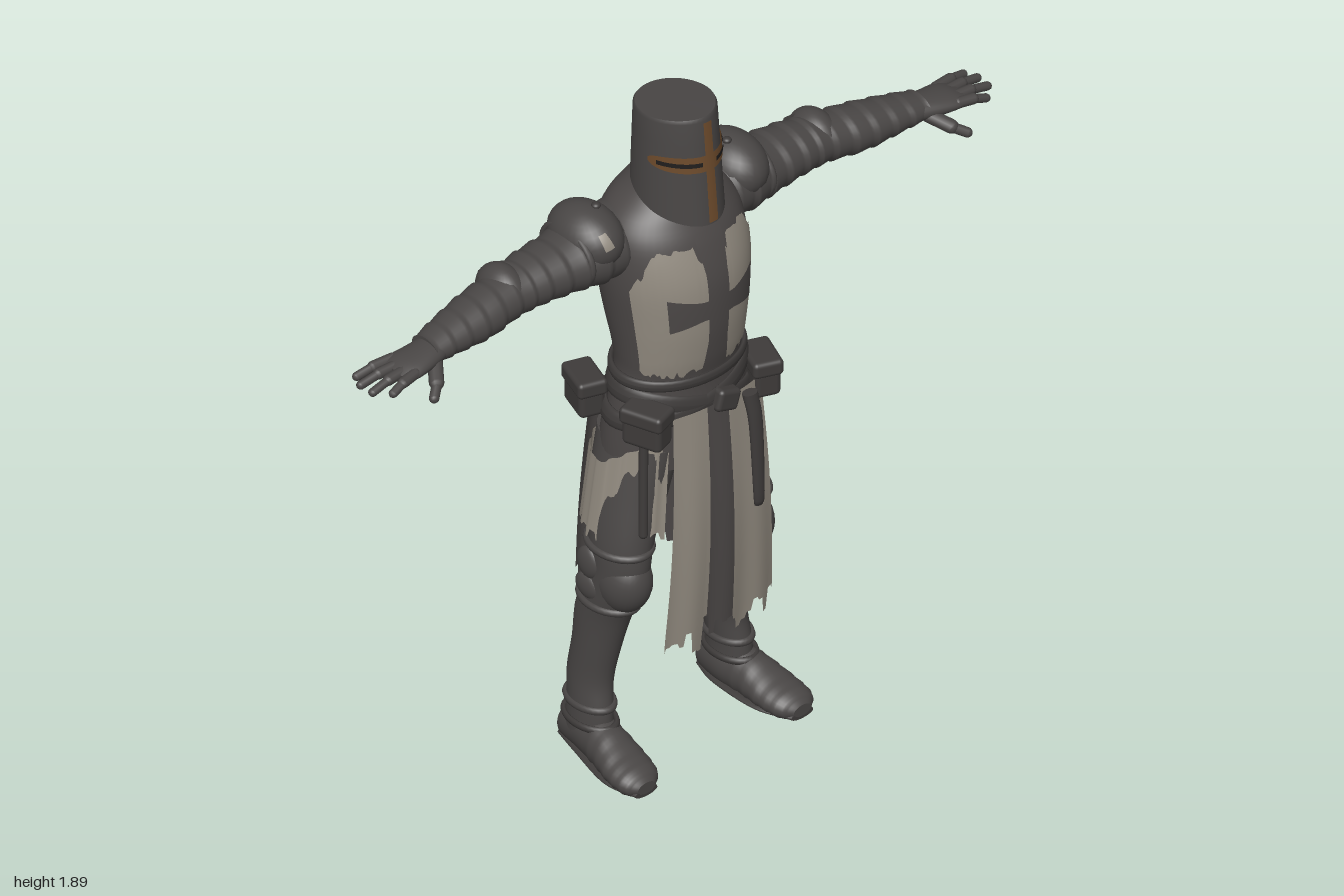
import * as THREE from 'three';
import { RoundedBoxGeometry } from 'three/addons/geometries/RoundedBoxGeometry.js';

const paint = (name, color, side = THREE.FrontSide) =>
  Object.assign(new THREE.MeshStandardMaterial({ color, side }), { name });
const hash = n => { const s = Math.sin(n * 12.9898) * 43758.5453; return s - Math.floor(s); };
const lerp = THREE.MathUtils.lerp;
const TAU = Math.PI * 2;

// Surface through rows of points; optional wrap-around and flat end caps
function skin(rings, closed = true, cap = closed) {
  if (cap) {
    const mid = r => {
      const c = [0, 1, 2].map(k => r.reduce((s, p) => s + p[k], 0) / r.length);
      return r.map(() => c);
    };
    const first = rings[0], last = rings[rings.length - 1];
    rings = [mid(first), first, ...rings, last, mid(last)];
  }
  const n = rings[0].length, idx = [];
  for (let i = 0; i < rings.length - 1; i++) {
    for (let j = 0; j < (closed ? n : n - 1); j++) {
      const k = (j + 1) % n, a = i * n + j, b = i * n + k, c = b + n, d = a + n;
      idx.push(a, b, c, a, c, d);
    }
  }
  const g = new THREE.BufferGeometry();
  g.setAttribute('position', new THREE.Float32BufferAttribute(rings.flat(2), 3));
  g.setIndex(idx);
  g.computeVertexNormals();
  return g;
}

// Smooth tables of [centre x, y, z, radius a, radius b]
function profile(rows) {
  const centre = new THREE.CatmullRomCurve3(rows.map(r => new THREE.Vector3(r[0], r[1], r[2])), false, 'catmullrom');
  const radii = new THREE.CatmullRomCurve3(rows.map(r => new THREE.Vector3(r[3], r[4], 0)), false, 'catmullrom');
  return t => ({ c: centre.getPoint(t), r: radii.getPoint(t) });
}
function sectionPoint({ c, r }, axis, q, s = 1) {
  const a = r.x * Math.sin(q) * s, b = r.y * Math.cos(q) * s;
  if (axis === 'y') return [c.x + a, c.y, c.z + b];
  if (axis === 'x') return [c.x, c.y + b, c.z + a];
  return [c.x + b, Math.max(0, c.y + a), c.z];
}
function loft(rows, axis, steps = 32, scale = () => 1, n = 32) {
  const at = profile(rows);
  return skin(Array.from({ length: steps + 1 }, (_, i) => {
    const s = at(i / steps);
    return Array.from({ length: n }, (_, j) => sectionPoint(s, axis, j / n * TAU, scale(i / steps)));
  }));
}
// Open sheet on surf(u, y) between two edge functions
function sheet(surf, u0, u1, lo, hi, n = 32, m = 16) {
  return skin(Array.from({ length: m + 1 }, (_, i) => Array.from({ length: n + 1 }, (_, j) => {
    const u = lerp(u0, u1, j / n);
    return surf(u, lerp(lo(u), hi(u), i / m));
  })), false);
}

export function createModel() {
  const steel = paint('dark steel', 0x494645);
  const tunic = paint('dark cloth', 0x4b4746, THREE.DoubleSide);
  const linen = paint('worn linen', 0x918a7f, THREE.DoubleSide);
  const leather = paint('dark leather', 0x3e3b3a);
  const brass = paint('aged brass', 0x6c4a2b, THREE.DoubleSide);
  const slitMat = paint('shadow black', 0x1f1d1c, THREE.DoubleSide);
  const model = new THREE.Group();
  model.name = 'armouredKnight';
  const add = (parent, name, geo, mat, pos, rot, scale) => {
    const m = new THREE.Mesh(geo, mat);
    m.name = name;
    if (pos) m.position.set(...pos);
    if (rot) m.rotation.set(...rot);
    if (scale) m.scale.set(...scale);
    parent.add(m);
    return m;
  };
  const ball = new THREE.SphereGeometry(1, 28, 18);
  const capsule = (parent, name, a, b, r, mat) => {
    const p = new THREE.Vector3(...a), q = new THREE.Vector3(...b), d = q.clone().sub(p);
    const m = add(parent, name, new THREE.CapsuleGeometry(r, d.length(), 5, 10), mat, p.clone().add(q).multiplyScalar(0.5).toArray());
    m.quaternion.setFromUnitVectors(new THREE.Vector3(0, 1, 0), d.normalize());
  };

  // Torso in a dark tunic: rows of [y, half width, front z, back z]
  const torsoRows = [
    [0.87, 0.205, 0.13, -0.155], [0.95, 0.2, 0.135, -0.145], [1.04, 0.188, 0.14, -0.125], [1.13, 0.172, 0.14, -0.12],
    [1.2, 0.176, 0.153, -0.132], [1.3, 0.188, 0.163, -0.163], [1.42, 0.2, 0.16, -0.185], [1.52, 0.195, 0.132, -0.182],
    [1.58, 0.165, 0.1, -0.165], [1.63, 0.105, 0.07, -0.135], [1.67, 0.07, 0.05, -0.1],
  ].map(([y, w, f, b]) => [0, y, (f + b) / 2, w, (f - b) / 2]);
  add(model, 'torso', loft(torsoRows, 'y', 48, undefined, 56), tunic);
  const torsoAt = profile(torsoRows);
  const onTorso = (q, y, s) => {
    let a = 0, b = 1;
    for (let i = 0; i < 22; i++) { const m = (a + b) / 2; if (torsoAt(m).c.y < y) a = m; else b = m; }
    return sectionPoint(torsoAt(a), 'y', q, s);
  };

  // Linen chest front with a dark flared cross
  const chestTop = q => {
    const a = Math.abs(q);
    return (a < 0.25 ? 1.5 : a < 0.75 ? 1.535 : lerp(1.535, 1.42, (a - 0.75) / 0.45)) - 0.02 * hash(Math.round(q * 12));
  };
  add(model, 'chestLinen', sheet((q, y) => onTorso(q, y, 1.025), -1.2, 1.2,
    q => 1.15 + 0.025 * hash(Math.round(q * 20)), chestTop, 64, 24), linen);
  const crossWidth = y => 0.16 + 0.12 * Math.max(0, Math.abs(y - 1.35) - 0.1) / 0.2;
  add(model, 'crossUpright', sheet((u, y) => onTorso(u * crossWidth(y), y, 1.04), -1, 1, () => 1.15, () => 1.55, 10, 24), tunic);
  const barHalf = q => 0.028 + 0.022 * Math.max(0, Math.abs(q) - 0.25) / 0.45;
  add(model, 'crossBar', sheet((q, y) => onTorso(q, y, 1.045), -0.7, 0.72, q => 1.35 - barHalf(q), q => 1.35 + barHalf(q), 24, 6), tunic);

  // Crossing belts, knot, buckle and pouches
  for (const [tilt, y0] of [[-0.045, 1.05], [0.045, 1.06], [0, 1.13]]) {
    const h = tilt ? 0.025 : 0.016;
    add(model, 'belt', skin(Array.from({ length: 13 }, (_, i) => Array.from({ length: 48 }, (_, j) => {
      const f = i / 12 * TAU, q = j / 48 * TAU;
      return onTorso(q, y0 + tilt * Math.sin(q) + h * Math.sin(f), 1.05 + 0.05 * Math.cos(f));
    })), true, false), leather);
  }
  add(model, 'beltKnot', new RoundedBoxGeometry(0.07, 0.06, 0.04, 3, 0.012), leather, [0.03, 1.05, 0.155], [0, 0, -0.3]);
  for (const s of [-1, 1]) {
    for (const [x, z, yaw] of [[0.183, 0.11, 0.35], [0.2, -0.105, -0.3]]) {
      const pouch = new THREE.Group();
      pouch.name = 'pouch';
      pouch.position.set(s * x, 1.04, z);
      pouch.rotation.y = -s * yaw;
      add(pouch, 'pouchBody', new RoundedBoxGeometry(0.07, 0.1, 0.11, 3, 0.015), leather);
      add(pouch, 'pouchFlap', new RoundedBoxGeometry(0.08, 0.045, 0.12, 3, 0.012), leather, [0, 0.035, 0]);
      model.add(pouch);
    }
  }

  // Ragged linen hip skirts
  const onSkirt = (q, y) => {
    const t = (0.97 - y) / 0.3;
    return [Math.sin(q) * lerp(0.208, 0.255, t), y, -0.017 + Math.cos(q) * lerp(0.15, 0.16, t) + 0.004 * Math.sin(q * 24)];
  };
  for (const s of [-1, 1]) {
    const mid = s * 1.6;
    add(model, 'hipSkirt', sheet(onSkirt, mid - 1.05, mid + 1.05,
      q => 0.66 + 0.05 * hash(Math.round(q * 9) + s), q => 0.88 + 0.11 * Math.max(0, Math.cos(q)), 56, 10), linen);
  }
  capsule(model, 'hangingStrap', [-0.185, 1.0, 0.1], [-0.195, 0.72, 0.11], 0.012, leather);

  // Long front tabard: linen, dark stripe, linen; and the dark back tabard
  const frontZ = (x, y) => 0.158 + 0.018 * Math.sin((1.05 - y) / 0.72 * Math.PI) + 0.006 * Math.sin(x * 55) * (1.1 - y) - 0.6 * x * x;
  const onFront = (x, y) => [x * lerp(1, 0.82, Math.max(0, (y - 0.4) / 0.65)), y, frontZ(x, y)];
  const frontHem = x => 0.33 + 0.075 * hash(Math.round(x * 55) + 3) + 0.03 * (Math.abs(x) < 0.05);
  for (const [name, a, b, mat] of [['tabardRight', -0.155, -0.035, linen], ['tabardStripe', -0.035, 0.045, tunic], ['tabardLeft', 0.045, 0.195, linen]]) {
    add(model, name, sheet(onFront, a, b, frontHem, () => 1.05, 24, 24), mat);
  }
  const onBack = (x, y) => [x * lerp(1, 0.85, (y - 0.33) / 0.7), y,
    -0.15 - 0.035 * Math.sin(Math.min(1, (1.02 - y) / 0.5) * Math.PI / 2) + 0.006 * Math.sin(x * 50) + 0.6 * x * x];
  add(model, 'backTabard', sheet(onBack, 0.18, -0.18, x => 0.33 + 0.14 * hash(Math.round(x * 45) + 9), () => 1.02, 60, 24), tunic);

  // Dagger sheath
  add(model, 'sheath', loft([[0.12, 0.7, 0.175, 0.012, 0.008], [0.117, 0.74, 0.18, 0.016, 0.011], [0.11, 0.95, 0.176, 0.02, 0.013], [0.1, 1.04, 0.165, 0.022, 0.015]], 'y', 12, undefined, 16), leather);

  // Great helm with sloping rim and brass cross
  const onHelm = (q, y, s = 1) => {
    const t = (y - 1.6) / 0.28, c = Math.cos(q);
    const front = lerp(0.142, 0.118, t), back = lerp(-0.12, -0.11, t), m = (front + back) / 2, d = (front - back) / 2;
    return [lerp(0.108, 0.098, t) * Math.sin(q) * s, y, m + d * s * (c > 0 ? lerp(c, c * c * c, 0.12) : c)];
  };
  const rim = q => 1.62 - 0.037 * Math.cos(q), crown = q => 1.878 + 0.01 * Math.cos(q);
  const helmRing = (t, s = 1) => Array.from({ length: 48 }, (_, j) => {
    const q = j / 48 * TAU;
    return onHelm(q, lerp(rim(q), crown(q), t), s);
  });
  add(model, 'helm', skin([0, 0.25, 0.5, 0.75, 0.97, 1].map(t => helmRing(t, t === 1 ? 0.96 : 1))), steel);
  add(model, 'helmRidge', sheet((q, y) => onHelm(q, y, 1.05), -0.12, 0.12, q => rim(q) + 0.01, q => crown(q) - 0.01, 6, 16), brass);
  add(model, 'visorBar', sheet((q, y) => onHelm(q, y, 1.035), -1.45, 1.45,
    q => 1.762 - 0.022 * Math.sqrt(1.05 - (q / 1.45) ** 4), q => 1.762 + 0.022 * Math.sqrt(1.05 - (q / 1.45) ** 4), 36, 4), brass);
  for (const s of [-1, 1]) {
    add(model, 'eyeSlit', sheet((q, y) => onHelm(q, y, 1.06), s * 0.7 - 0.5, s * 0.7 + 0.5, () => 1.757, () => 1.769, 16, 2), slitMat);
  }

  // Arm: layered plates, shoulder and elbow guards, gauntlet
  const arm = new THREE.Group();
  arm.name = 'leftArm';
  add(arm, 'armPlates', loft([
    [0.12, 1.51, -0.06, 0.09, 0.08], [0.22, 1.505, -0.06, 0.1, 0.085], [0.32, 1.502, -0.06, 0.088, 0.07], [0.42, 1.503, -0.058, 0.078, 0.062],
    [0.5, 1.5, -0.05, 0.068, 0.058], [0.6, 1.492, -0.038, 0.07, 0.057], [0.7, 1.49, -0.024, 0.06, 0.045], [0.79, 1.488, -0.01, 0.048, 0.032],
  ], 'x', 84, t => 0.98 + 0.09 * (1 - (t * 12) % 1)), steel);
  add(arm, 'shoulderGuard', ball, steel, [0.232, 1.548, -0.063], [0, 0, -0.25], [0.083, 0.083, 0.112]);
  add(arm, 'shoulderRim', new THREE.TorusGeometry(0.083, 0.009, 8, 32), steel, [0.29, 1.515, -0.062], [0, Math.PI / 2, 0], [1.12, 0.9, 1]);
  add(arm, 'shoulderRivet', ball, leather, [0.21, 1.63, -0.05], null, [0.012, 0.008, 0.012]);
  add(arm, 'elbowGuard', ball, steel, [0.5, 1.502, -0.065], null, [0.055, 0.072, 0.078]);
  add(arm, 'elbowWing', new THREE.ConeGeometry(0.068, 0.06, 20), steel, [0.49, 1.502, -0.135], [-Math.PI / 2, 0, 0], [1, 1, 0.8]);
  add(arm, 'gauntletPalm', loft([[0.76, 1.488, -0.008, 0.045, 0.03], [0.82, 1.485, 0, 0.052, 0.027], [0.87, 1.482, 0.002, 0.057, 0.022], [0.905, 1.478, 0.002, 0.05, 0.012]], 'x', 14), steel);
  [[0.972, -0.056], [0.988, -0.022], [0.985, 0.02], [0.95, 0.056]].forEach(([x, z], i) => {
    const z0 = -0.04 + i * 0.028;
    capsule(arm, 'finger', [0.87, 1.484, z0], [lerp(0.87, x, 0.55), 1.48, lerp(z0, z, 0.55)], 0.0145, steel);
    capsule(arm, 'fingertip', [lerp(0.87, x, 0.5), 1.481, lerp(z0, z, 0.5)], [x, 1.468, z], 0.0115, steel);
  });
  capsule(arm, 'thumb', [0.79, 1.475, 0.025], [0.825, 1.45, 0.072], 0.019, steel);
  capsule(arm, 'thumbTip', [0.82, 1.452, 0.07], [0.855, 1.432, 0.098], 0.013, steel);
  model.add(arm);
  const rightArm = arm.clone();
  rightArm.name = 'rightArm';
  rightArm.scale.x = -1;
  model.add(rightArm);
  const wear = new THREE.SphereGeometry(1.02, 10, 8, 1.3, 0.32, 0.85, 0.5);
  add(model, 'wornPatch', wear, linen, [-0.232, 1.548, -0.063], [0, 0, 0.25], [0.083, 0.083, 0.112]);

  // Leg: thigh, greave, knee guard, bands and shoe
  const leg = new THREE.Group();
  leg.name = 'leftLeg';
  add(leg, 'legArmour', loft([
    [0.224, 0.06, -0.06, 0.048, 0.075], [0.222, 0.14, -0.058, 0.047, 0.07], [0.214, 0.22, -0.066, 0.05, 0.068], [0.207, 0.32, -0.05, 0.055, 0.07],
    [0.2, 0.42, -0.033, 0.061, 0.081], [0.197, 0.5, -0.002, 0.064, 0.084], [0.192, 0.58, 0.018, 0.066, 0.086], [0.18, 0.67, 0.01, 0.074, 0.095],
    [0.14, 0.8, -0.005, 0.09, 0.11], [0.105, 0.93, -0.01, 0.09, 0.12],
  ], 'y', 48), steel);
  add(leg, 'kneeGuard', ball, steel, [0.195, 0.545, 0.038], [0.25, 0, 0], [0.066, 0.09, 0.078]);
  add(leg, 'kneeWing', ball, steel, [0.25, 0.585, -0.03], null, [0.018, 0.045, 0.04]);
  add(leg, 'kneeWingLower', ball, steel, [0.252, 0.515, -0.03], null, [0.016, 0.035, 0.045]);
  for (const [x, y, z, a, b] of [[0.198, 0.47, -0.015, 0.064, 0.086], [0.188, 0.645, 0.012, 0.071, 0.091], [0.221, 0.15, -0.06, 0.05, 0.073], [0.224, 0.1, -0.055, 0.052, 0.08]]) {
    add(leg, 'legBand', new THREE.TorusGeometry(1, 0.12, 8, 32), y < 0.12 ? leather : steel, [x, y, z], [Math.PI / 2, 0, 0], [a, b, 0.09]);
  }
  add(leg, 'shoe', loft([
    [0.222, 0.035, -0.15, 0.02, 0.018], [0.222, 0.045, -0.135, 0.047, 0.038], [0.222, 0.055, -0.06, 0.062, 0.052], [0.232, 0.05, 0.02, 0.06, 0.056],
    [0.242, 0.036, 0.1, 0.042, 0.064], [0.248, 0.028, 0.16, 0.034, 0.056], [0.25, 0.024, 0.188, 0.016, 0.028],
  ], 'z', 48, t => 1 + 0.05 * (t > 0.45 ? (t * 12) % 1 : 0)), steel);
  add(leg, 'sole', loft([
    [0.222, 0.012, -0.145, 0.012, 0.03], [0.222, 0.012, -0.06, 0.012, 0.052], [0.24, 0.012, 0.09, 0.012, 0.066], [0.25, 0.012, 0.187, 0.012, 0.035],
  ], 'z', 24), leather);
  model.add(leg);
  const rightLeg = leg.clone();
  rightLeg.name = 'rightLeg';
  rightLeg.scale.x = -1;
  model.add(rightLeg);

  return model;
}
